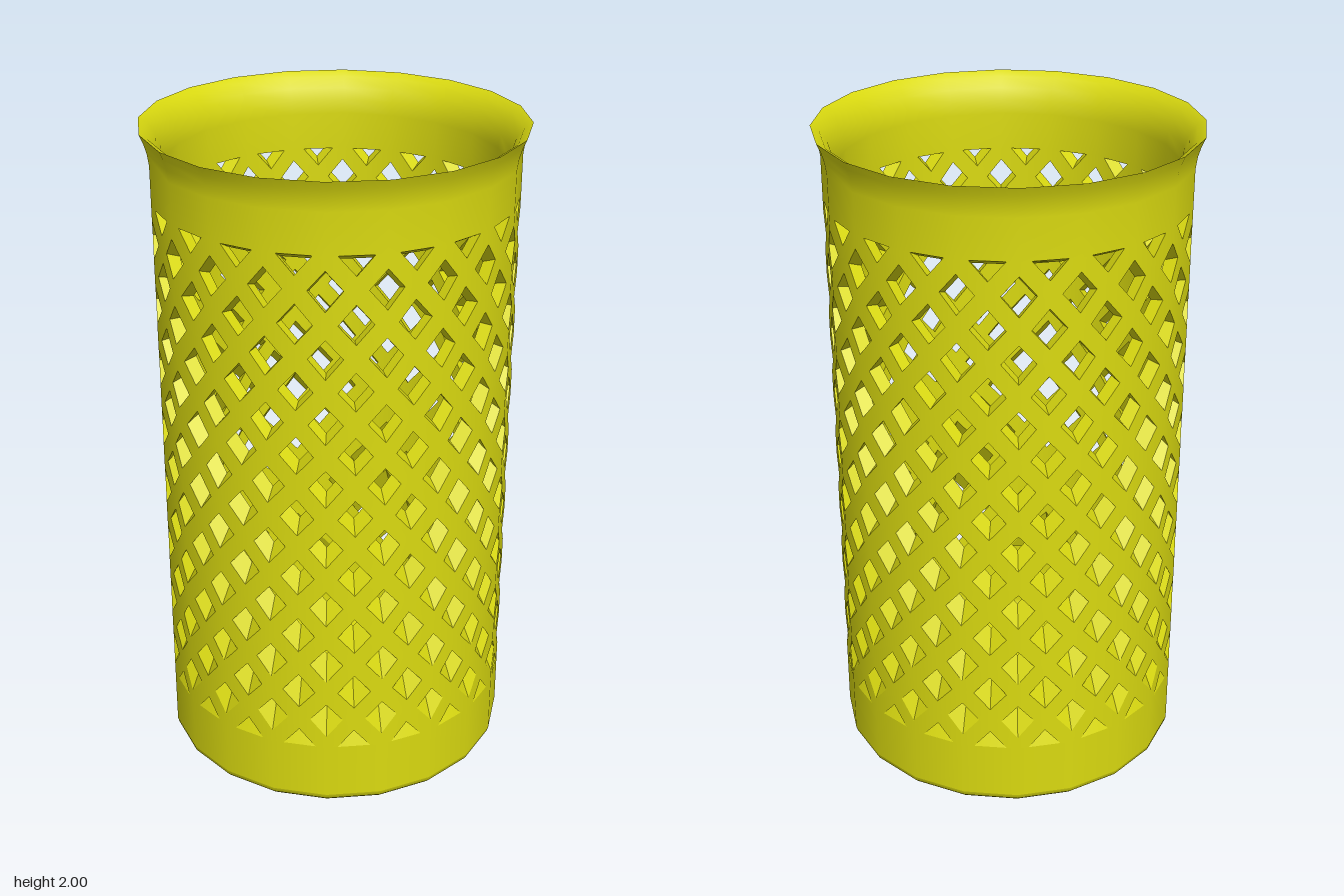
import * as THREE from 'three';

const SIDES = 20, OUTER = 0.535, INNER = 0.495;
const LOW = 0.21, HIGH = 1.79;          // open band of the lattice
const FOCUS = 1.494;                    // the holes taper toward this point on the axis
const K = INNER / OUTER;
const inward = (y) => FOCUS + (y - FOCUS) * K;

const material = new THREE.MeshStandardMaterial({ color: 0xdada10, side: THREE.DoubleSide });

function lathe(name, points) {
  const geo = new THREE.LatheGeometry(points.map(([r, y]) => new THREE.Vector2(r, y)), SIDES);
  const mesh = new THREE.Mesh(geo, material);
  mesh.name = name;
  return mesh;
}

// Diagonal struts, one per tile, with cut faces that taper inward
function latticeGeometry() {
  const cols = SIDES * 2, rows = 16, s = 0.41;
  const rowH = (HIGH - LOW) / rows, step = Math.PI / SIDES;
  const strut = [[0, 0], [s, 0], [1, 1 - s], [1, 1], [1 - s, 1], [0, s]];
  const pos = [], nor = [];

  // Point on the faceted wall; u runs around in half facets, y is height
  const point = (u, y, inner) => {
    const facet = Math.floor(u / 2), t = u / 2 - facet;
    const a = facet * 2 * step, b = a + 2 * step;
    const p = new THREE.Vector3(
      THREE.MathUtils.lerp(Math.sin(a), Math.sin(b), t) * OUTER, y,
      THREE.MathUtils.lerp(Math.cos(a), Math.cos(b), t) * OUTER);
    return inner ? p.set(p.x * K, inward(y), p.z * K) : p;
  };
  const tri = (pts, sign) => {
    const flat = new THREE.Triangle(...pts).getNormal(new THREE.Vector3());
    for (const p of pts) {
      const n = sign ? new THREE.Vector3(p.x, 0, p.z).normalize().multiplyScalar(sign) : flat;
      pos.push(p.x, p.y, p.z);
      nor.push(n.x, n.y, n.z);
    }
  };

  for (let c = 0; c < cols; c++) for (let r = 0; r < rows; r++) {
    const poly = (c + r) % 2 ? strut.map(([u, v]) => [1 - u, v]).reverse() : strut;
    const out = poly.map(([u, v]) => point(c + u, LOW + (r + v) * rowH, false));
    const inn = poly.map(([u, v]) => point(c + u, LOW + (r + v) * rowH, true));
    for (let i = 1; i < 5; i++) {
      tri([out[0], out[i], out[i + 1]], 1);
      tri([inn[0], inn[i + 1], inn[i]], -1);
    }
    for (let i = 0; i < 6; i++) {
      const j = (i + 1) % 6;
      if (poly[i][0] === poly[j][0] || poly[i][1] === poly[j][1]) continue; // tile border
      tri([out[i], inn[i], inn[j]], 0);
      tri([out[i], inn[j], out[j]], 0);
    }
  }
  const geo = new THREE.BufferGeometry();
  geo.setAttribute('position', new THREE.Float32BufferAttribute(pos, 3));
  geo.setAttribute('normal', new THREE.Float32BufferAttribute(nor, 3));
  return geo;
}

export function createModel() {
  const group = new THREE.Group();
  group.name = 'latticeCup';

  // Solid base: underside, rounded foot, sloping ledge and inside
  const base = new THREE.Group();
  base.name = 'base';
  base.add(
    lathe('underside', [[0, 0], [0.505, 0]]),
    lathe('foot', [[0.505, 0], [0.52, 0.004], [0.531, 0.015], [OUTER, 0.03]]),
    lathe('baseWall', [[OUTER, 0.03], [OUTER, LOW]]),
    lathe('baseLedge', [[OUTER, LOW], [INNER, inward(LOW)]]),
    lathe('baseInside', [[INNER, inward(LOW)], [INNER, 0.08], [0.485, 0.055], [0.46, 0.042], [0.42, 0.04], [0, 0.04]]),
  );

  // Open diamond lattice
  const lattice = new THREE.Mesh(latticeGeometry(), material);
  lattice.name = 'lattice';

  // Solid collar with a flared lip
  const rim = new THREE.Group();
  rim.name = 'rim';
  rim.add(
    lathe('rimLedge', [[INNER, inward(HIGH)], [OUTER, HIGH]]),
    lathe('rimOutside', [[OUTER, HIGH], [OUTER, 1.91], [0.54, 1.945], [0.549, 1.975], [0.56, 2]]),
    lathe('rimInside', [[0.56, 2], [0.535, 1.985], [0.514, 1.955], [0.5, 1.92], [INNER, 1.88], [INNER, inward(HIGH)]]),
  );

  group.add(base, lattice, rim);
  return group;
}
